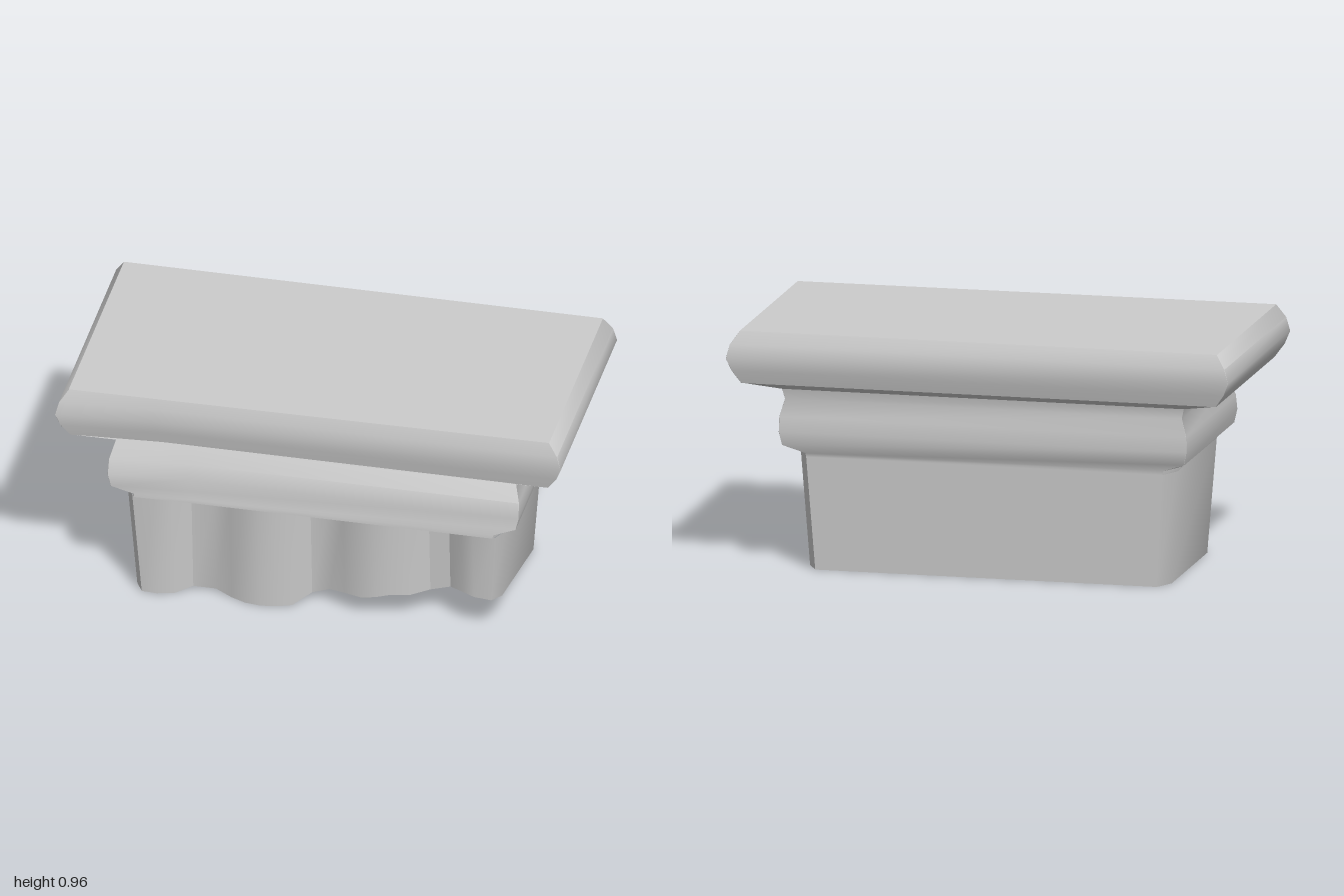
import * as THREE from 'three';
import { toCreasedNormals } from 'three/addons/utils/BufferGeometryUtils.js';

const material = new THREE.MeshStandardMaterial({ color: 0xcccccc });

// Mesh from a list of quads/triangles given as corner arrays
function meshFrom(name, faces, crease) {
  const pos = [];
  for (const f of faces)
    for (let i = 1; i < f.length - 1; i++) pos.push(...f[0], ...f[i], ...f[i + 1]);
  const g = new THREE.BufferGeometry();
  g.setAttribute('position', new THREE.Float32BufferAttribute(pos, 3));
  const mesh = new THREE.Mesh(toCreasedNormals(g, crease), material);
  mesh.name = name;
  return mesh;
}

// Side faces between two rings (counter-clockwise seen from above, lower first)
function band(lower, upper) {
  return lower.map((p, i) => {
    const j = (i + 1) % lower.length;
    return [p, lower[j], upper[j], upper[i]];
  });
}

// Moulding ring: half width, back, front, worn front-left corner, corner chamfer
function mouldingRing([y, hx, zb, zf, zl, cx = 0.001, cz = 0.001]) {
  return [
    [-hx + cx, y, zl], [-0.62 * Math.min(1, hx), y, zf], [hx - cx, y, zf], [hx, y, zf - cz],
    [hx, y, zb + cz], [hx - cx, y, zb], [-hx + cx, y, zb], [-hx, y, zb + cz], [-hx, y, zl - cz],
  ];
}

function moulding(name, rows) {
  const rings = rows.map(mouldingRing);
  const faces = [];
  for (let i = 0; i < rings.length - 1; i++) faces.push(...band(rings[i], rings[i + 1]));
  faces.push(rings[rings.length - 1], [...rings[0]].reverse());
  return meshFrom(name, faces, 0.7);
}

// Fluted front outline of the shaft at its foot: [x, z, height of broken edge]
const FRONT = [
  [-0.72, 0.30, 0], [-0.69, 0.355, 0], [-0.63, 0.36, 0], [-0.56, 0.34, 0],
  [-0.50, 0.29, 0.01], [-0.41, 0.29, 0.01], [-0.34, 0.325, 0], [-0.28, 0.352, 0],
  [-0.22, 0.36, 0], [-0.16, 0.352, 0], [-0.10, 0.33, 0], [-0.03, 0.28, 0.04],
  [0.04, 0.28, 0.065], [0.11, 0.325, 0.085], [0.18, 0.352, 0.09], [0.24, 0.36, 0.105],
  [0.30, 0.352, 0.12], [0.37, 0.33, 0.115], [0.44, 0.28, 0.12], [0.52, 0.28, 0.145],
  [0.58, 0.33, 0.16], [0.63, 0.355, 0.158], [0.69, 0.36, 0.155], [0.72, 0.30, 0.145],
];
const SHAFT_TOP = 0.455;

// Shaft widens slightly towards the top
function flare(x, y, z) {
  const t = y / SHAFT_TOP;
  const ends = Math.abs(x) > 0.66 ? Math.sign(x) * 0.03 * t : 0;
  return [x + ends, y, z + (z > 0 ? 0.035 : -0.027) * t];
}

function shaft() {
  const back = [[0.72, -0.28, 0], [0.68, -0.36, 0], [-0.68, -0.36, 0], [-0.72, -0.28, 0]];
  const plan = [...FRONT, ...back];
  const lower = plan.map(([x, z, h]) => flare(x, h, z));
  const upper = plan.map(([x, z]) => flare(x, SHAFT_TOP, z));
  const faces = band(lower, upper);
  // Underside: sloping break from the front edge to a line near the back
  const n = FRONT.length;
  for (let i = 0; i < n - 1; i++) {
    faces.push([lower[i + 1], lower[i], [FRONT[i][0], 0, -0.28], [FRONT[i + 1][0], 0, -0.28]]);
  }
  faces.push([lower[n], lower[n + 3], lower[n + 2], lower[n + 1]]);
  return meshFrom('flutedShaft', faces, 0.6);
}

export function createModel() {
  const group = new THREE.Group();
  group.name = 'brokenPilasterCapital';

  // Rounded top slab: y, half width, back, front, front-left corner
  group.add(moulding('topSlab', [
    [0.75, 0.945, -0.482, 0.457, 0.481],
    [0.80, 0.98, -0.498, 0.470, 0.500],
    [0.85, 1.00, -0.510, 0.481, 0.508],
    [0.905, 0.985, -0.505, 0.476, 0.503],
    [0.957, 0.95, -0.483, 0.462, 0.484],
  ]));

  // Recessed neck and swelling lower moulding, chamfered where it meets the shaft
  group.add(moulding('neckMoulding', [
    [0.45, 0.75, -0.387, 0.395, 0.400, 0.04, 0.08],
    [0.465, 0.752, -0.388, 0.395, 0.400, 0.04, 0.08],
    [0.497, 0.80, -0.410, 0.387, 0.414],
    [0.55, 0.812, -0.416, 0.390, 0.416],
    [0.61, 0.81, -0.415, 0.373, 0.400],
    [0.68, 0.79, -0.403, 0.338, 0.365],
    [0.72, 0.80, -0.412, 0.373, 0.397],
    [0.751, 0.944, -0.481, 0.456, 0.480],
  ]));

  group.add(shaft());
  return group;
}
